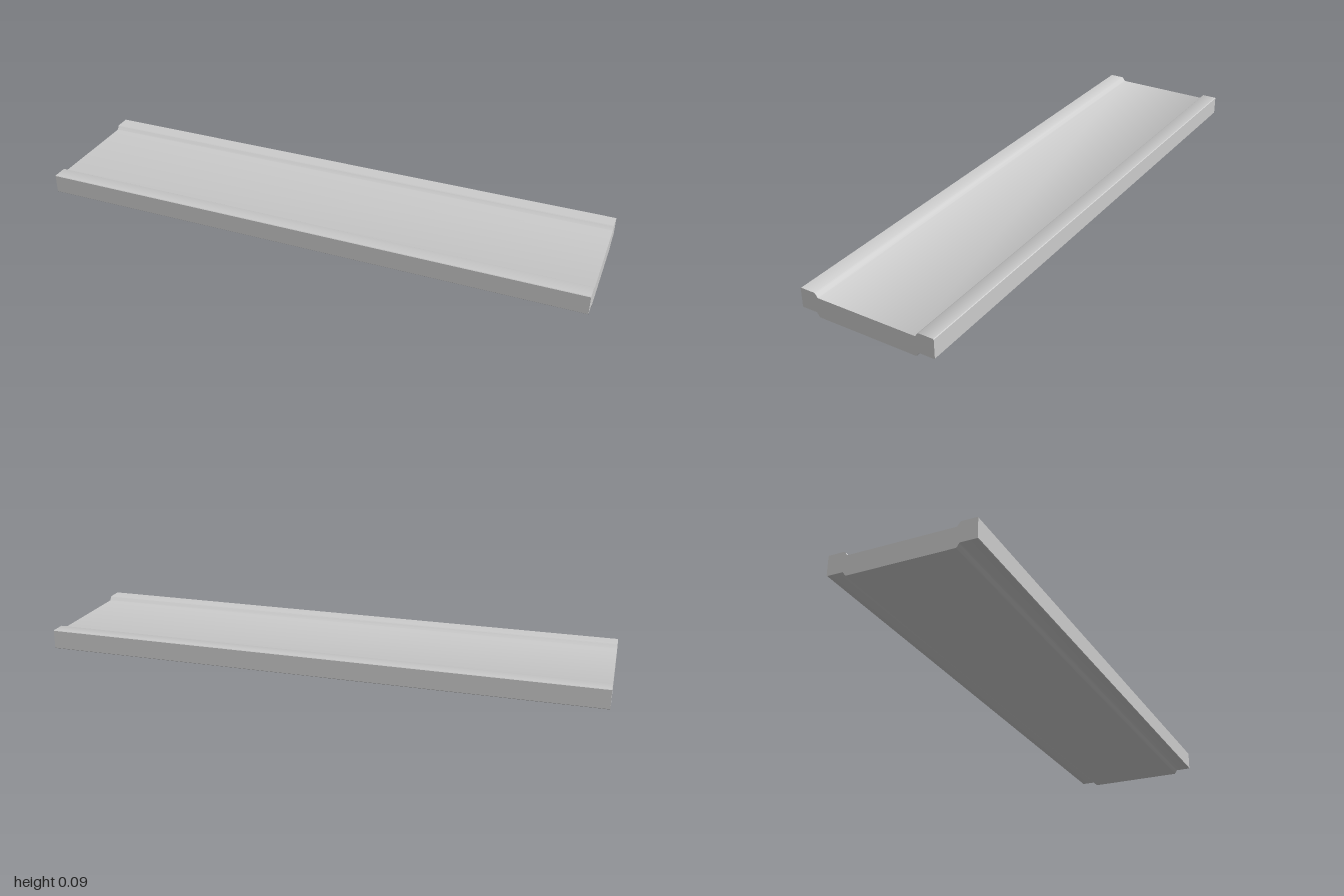
import * as THREE from 'three';
import { toCreasedNormals } from 'three/addons/utils/BufferGeometryUtils.js';

// Half of the upper outline, from the outer edge towards the middle: [z, y]
const STEP = [[0.25, 0.083], [0.248, 0.085], [0.195, 0.085], [0.192, 0.083], [0.184, 0.071], [0.182, 0.07]];
const THICKNESS = 0.07;

export function createModel() {
  const group = new THREE.Group();
  group.name = 'plank';

  // Constant-thickness cross-section with a raised rim along both long edges
  const top = [...STEP, ...STEP.map(([z, y]) => [-z, y]).reverse()];
  const under = [[0.248, 0.015], [0.195, 0.015], [0.192, 0.013], [0.184, 0.001], [0.182, 0]];
  const bottom = [
    [-0.25, 0.087 - THICKNESS],
    ...under.map(([z, y]) => [-z, y]),
    ...under.slice().reverse(),
    [0.25, 0.087 - THICKNESS],
  ];
  const shape = new THREE.Shape([...top, ...bottom].map(([z, y]) => new THREE.Vector2(z, y)));

  // Extrude along the length, then turn the length onto x
  const geometry = new THREE.ExtrudeGeometry(shape, { depth: 2, bevelEnabled: false });
  geometry.translate(0, 0, -1);
  geometry.rotateY(Math.PI / 2);

  const board = new THREE.Mesh(
    toCreasedNormals(geometry, 0.65),
    new THREE.MeshStandardMaterial({ color: 0xcccccc })
  );
  board.name = 'rimmedBoard';
  group.add(board);
  return group;
}
